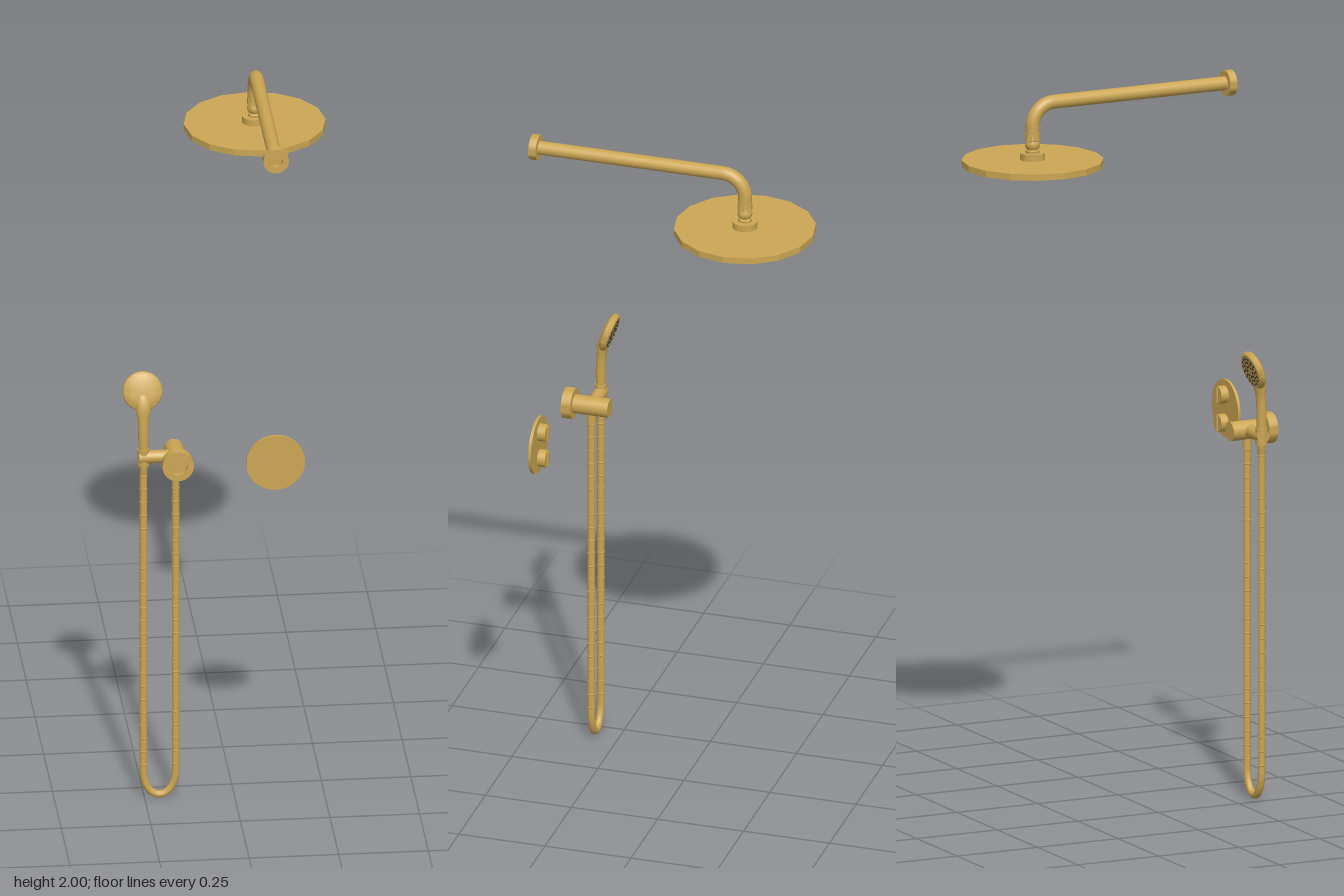
import * as THREE from 'three';
import { toCreasedNormals } from 'three/addons/utils/BufferGeometryUtils.js';

export function createModel() {
  const root = new THREE.Group();
  root.name = 'showerSet';
  const brass = new THREE.MeshStandardMaterial({ color: 0xcba653 });
  brass.name = 'brushed brass';
  const rubber = new THREE.MeshStandardMaterial({ color: 0x1d1a14 });
  rubber.name = 'dark nozzle rubber';

  const add = (name, geometry, position = [0, 0, 0], parent = root, material = brass) => {
    const mesh = new THREE.Mesh(geometry, material);
    mesh.name = name;
    mesh.position.set(...position);
    parent.add(mesh);
    return mesh;
  };
  const lathe = (points, sides = 32) => toCreasedNormals(
    new THREE.LatheGeometry(points.map(p => new THREE.Vector2(...p)), sides), 0.6);
  const cylinder = (r, h, sides = 32) => new THREE.CylinderGeometry(r, r, h, sides);
  const alongZ = g => g.rotateX(Math.PI / 2);
  const V = (x, y, z) => new THREE.Vector3(x, y, z);

  // Rings of small nozzles, pointing along local y
  const nozzles = (name, rings, radius, y, parent) => {
    const group = new THREE.Group();
    group.name = name;
    parent.add(group);
    const geometry = cylinder(radius, 0.004, 6);
    for (const [r, count, offset = 0] of rings) {
      for (let i = 0; i < count; i++) {
        const a = (i + offset) / count * Math.PI * 2;
        add('nozzle', geometry, [r * Math.cos(a), y, r * Math.sin(a)], group, rubber);
      }
    }
  };

  // Wall flange: a ring around z with a recessed middle at its wall side
  const flange = (name, outer, inner, depth, position) => {
    add(name, alongZ(lathe([
      [inner, 0], [outer, 0], [outer, depth], [inner, depth], [inner, 0],
    ])), position);
  };

  // Overhead rain shower
  const X = 0.109, HZ = -0.211, AY = 1.966;
  const head = new THREE.Group();
  head.name = 'rainHead';
  head.position.set(X, 1.8, HZ);
  root.add(head);
  add('rainPlate', toCreasedNormals(cylinder(0.198, 0.018, 16), 0.3), [0, 0, 0], head);
  nozzles('rainNozzles', [
    [0.022, 8], [0.046, 8, 0.5], [0.07, 16], [0.094, 16, 0.5],
    [0.118, 24], [0.142, 24, 0.5], [0.166, 32],
  ], 0.0055, -0.0095, head);
  add('swivelNeck', lathe([
    [0, 0.008], [0.035, 0.008], [0.035, 0.028], [0.019, 0.028], [0.019, 0.034],
    [0.015, 0.037], [0.02, 0.045], [0.021, 0.053], [0.017, 0.062],
    [0.021, 0.064], [0.021, 0.084], [0, 0.084],
  ]), [0, 0, 0], head);

  // Arm: straight run from the wall, then a quarter bend down
  const armPath = new THREE.CurvePath();
  const bend = 0.065, k = bend * 0.448;
  armPath.add(new THREE.LineCurve3(V(X, AY, 0.4), V(X, AY, HZ + bend)));
  armPath.add(new THREE.CubicBezierCurve3(V(X, AY, HZ + bend), V(X, AY, HZ + k),
    V(X, AY - k, HZ), V(X, AY - bend, HZ)));
  armPath.add(new THREE.LineCurve3(V(X, AY - bend, HZ), V(X, 1.875, HZ)));
  add('showerArm', new THREE.TubeGeometry(armPath, 80, 0.0195, 24));
  add('armEndCap', new THREE.CircleGeometry(0.0195, 24), [X, AY, 0.392]);
  flange('armFlange', 0.036, 0.0185, 0.022, [X, AY, 0.386]);

  // Valve plate with two turning knobs
  const MY = 1.041;
  add('valvePlate', alongZ(cylinder(0.082, 0.008, 48)), [X, MY, 0.39]);
  for (const s of [-1, 1]) {
    add('valveKnob', alongZ(cylinder(0.025, 0.024)), [X, MY + s * 0.04, 0.375]);
    add('knobGrip', new THREE.BoxGeometry(0.008, 0.042, 0.006), [X, MY + s * 0.04, 0.361]);
  }

  // Wall holder for the hand shower
  const WX = -0.163, SX = -0.253, SZ = 0.319;
  flange('holderFlange', 0.044, 0.026, 0.028, [WX, MY, 0.367]);
  add('holderBody', alongZ(cylinder(0.027, 0.117)), [WX, MY, 0.3235]);
  add('holderArm', cylinder(0.0185, 0.095, 24).rotateZ(Math.PI / 2), [-0.2175, MY, SZ]);
  add('holderClip', cylinder(0.0165, 0.05, 24), [SX, MY, SZ]);
  add('hoseOutlet', cylinder(0.0125, 0.035, 20), [WX, 1.008, SZ]);

  // Hand shower handle, leaning forward where it nears the head
  const handle = new THREE.LatheGeometry([
    [0, 0.99], [0.011, 0.99], [0.012, 1.03], [0.0135, 1.06], [0.0145, 1.1], [0.015, 1.14],
    [0.017, 1.165], [0.022, 1.185], [0.022, 1.205], [0.014, 1.225], [0, 1.23],
  ].map(p => new THREE.Vector2(...p)), 24);
  const hp = handle.attributes.position;
  for (let i = 0; i < hp.count; i++) {
    const t = Math.max(0, hp.getY(i) - 1.11);
    hp.setZ(i, hp.getZ(i) * (1 - t * 3) - t * t * 1.1);
  }
  handle.computeVertexNormals();
  add('handShowerHandle', handle, [SX, 0, SZ]);

  // Hand shower head, with its spray face along local +y
  const hand = new THREE.Group();
  hand.name = 'handShowerHead';
  hand.position.set(SX, 1.231, 0.296);
  hand.rotation.x = -1.876;
  root.add(hand);
  add('handHeadShell', lathe([
    [0, -0.014], [0.03, -0.0135], [0.046, -0.01], [0.054, -0.004], [0.056, 0.002],
    [0.054, 0.008], [0.049, 0.012], [0, 0.012],
  ], 40), [0, 0, 0], hand);
  nozzles('handNozzles', [[0.016, 8], [0.028, 12], [0.039, 16, 0.5]], 0.0035, 0.0115, hand);

  // Hose hanging in a long loop
  const top = 1.02, low = 0.085, R = 0.0105;
  const hosePath = new THREE.CurvePath();
  const MX = (WX + SX) / 2, bottom = R + 0.001;
  hosePath.add(new THREE.LineCurve3(V(SX, top, SZ), V(SX, low, SZ)));
  hosePath.add(new THREE.CubicBezierCurve3(V(SX, low, SZ), V(SX, 0.045, SZ),
    V(MX - 0.027, bottom, SZ), V(MX, bottom, SZ)));
  hosePath.add(new THREE.CubicBezierCurve3(V(MX, bottom, SZ), V(MX + 0.027, bottom, SZ),
    V(WX, 0.045, SZ), V(WX, low, SZ)));
  hosePath.add(new THREE.LineCurve3(V(WX, low, SZ), V(WX, top, SZ)));
  add('hose', new THREE.TubeGeometry(hosePath, 220, R, 14));

  // Ribs on both straight runs of the hose
  const rib = new THREE.TorusGeometry(R - 0.001, 0.0022, 6, 16).rotateX(Math.PI / 2);
  for (const x of [SX, WX]) {
    for (let y = low + 0.02; y < top - 0.03; y += 0.04) add('hoseRib', rib, [x, y, SZ]);
  }
  return root;
}
